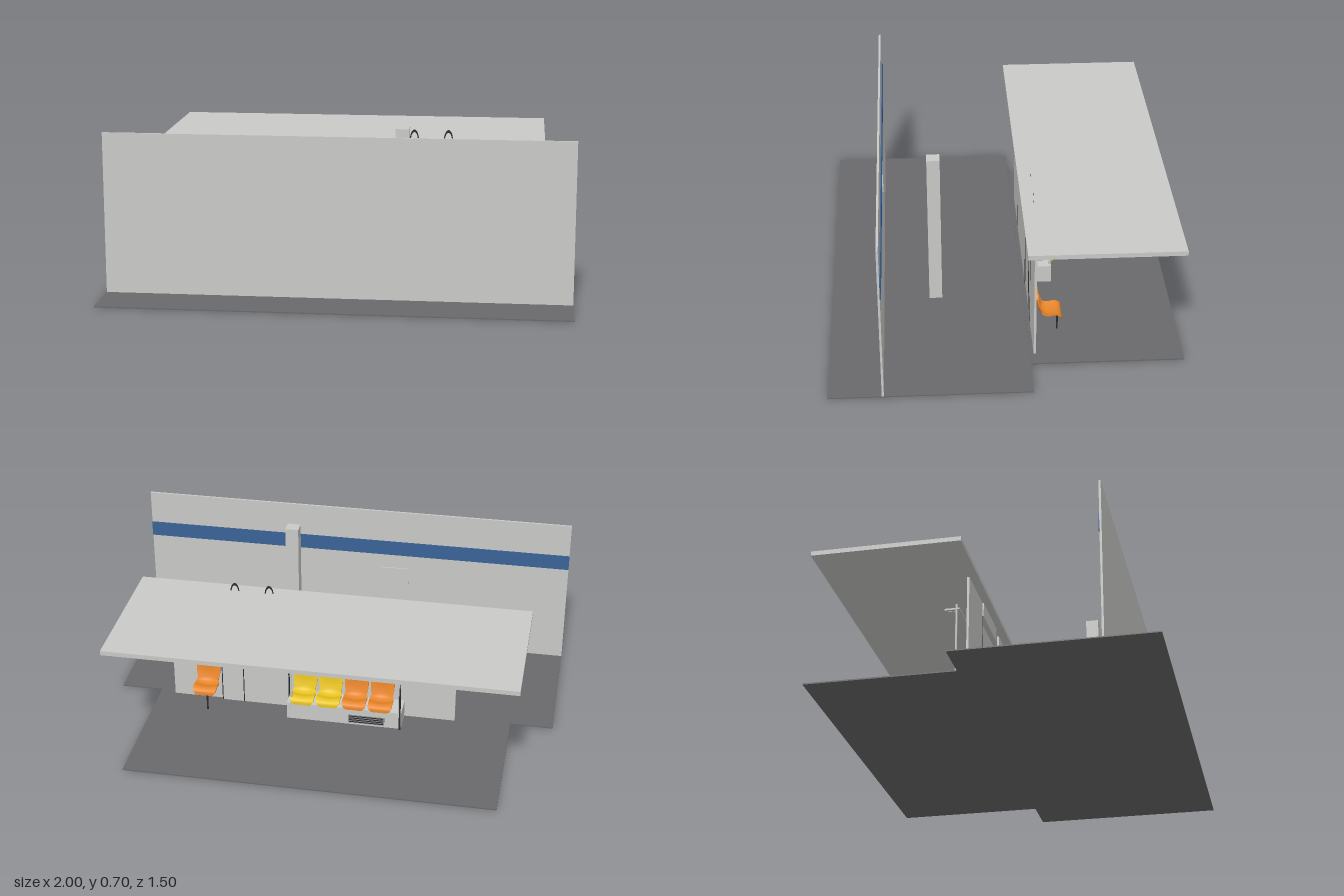
import * as THREE from 'three';

const mat = (name, color, side = THREE.FrontSide) => {
  const m = new THREE.MeshStandardMaterial({ color, side });
  m.name = name;
  return m;
};

export function createModel() {
  const model = new THREE.Group();
  model.name = 'stationShelter';
  const pale = mat('paleConcrete', 0xc9c9c7);
  const floor = mat('darkPaving', 0x69696b);
  const blue = mat('blueBand', 0x3a6296);
  const yellow = mat('yellowPlastic', 0xe8c420);
  const orange = mat('orangePlastic', 0xe8862a);
  const dark = mat('darkMetal', 0x2c2c2e, THREE.DoubleSide);
  const steel = mat('greySteel', 0x8c8c8c);

  // Box given by its limits on each axis
  const box = (name, m, [x0, x1], [y0, y1], [z0, z1], parent = model) => {
    const mesh = new THREE.Mesh(new THREE.BoxGeometry(x1 - x0, y1 - y0, z1 - z0), m);
    mesh.position.set((x0 + x1) / 2, (y0 + y1) / 2, (z0 + z1) / 2);
    mesh.name = name;
    parent.add(mesh);
    return mesh;
  };
  const rod = (name, m, x, z, y0, y1, r) => {
    const mesh = new THREE.Mesh(new THREE.CylinderGeometry(r, r, y1 - y0, 12), m);
    mesh.position.set(x, (y0 + y1) / 2, z);
    mesh.name = name;
    model.add(mesh);
  };

  // Ground slabs
  box('frontFloor', floor, [-1, 1], [0, 0.005], [-0.1, 0.75]);
  box('rearFloor', floor, [-0.81, 0.81], [0.002, 0.008], [-0.75, -0.1]);

  // Long wall with its blue band and sign plate on the inner side
  box('longWall', pale, [-1, 1], [0.005, 0.705], [0.518, 0.527]);
  box('wallBand', blue, [-1, 1], [0.48, 0.55], [0.513, 0.518]);
  box('wallSign', pale, [-0.25, -0.115], [0.325, 0.41], [0.513, 0.518]);

  // Free-standing column and canopy
  box('column', pale, [0.23, 0.29], [0.005, 0.705], [0.26, 0.317]);
  box('roof', pale, [-0.875, 0.875], [0.565, 0.585], [-0.725, -0.078]);

  // Shelter partition: side panels, low panel behind the bench, header boxes
  const zWall = [-0.126, -0.116];
  box('sidePanelRight', pale, [-0.56, -0.31], [0.005, 0.565], zWall);
  box('lowPanel', pale, [-0.31, 0.03], [0.005, 0.46], zWall);
  box('middlePanel', pale, [0.03, 0.2], [0.005, 0.565], zWall);
  box('sidePanelLeft', pale, [0.51, 0.74], [0.005, 0.565], zWall);
  box('headerOverBench', pale, [-0.31, -0.05], [0.5, 0.565], [-0.14, -0.11]);
  box('headerOverDoor', pale, [0.2, 0.51], [0.5, 0.565], [-0.14, -0.11]);
  box('doorPanel', pale, [0.2, 0.51], [0.005, 0.5], [-0.138, -0.118]);
  for (const x of [-0.31, 0.2, 0.41, 0.51]) {
    box('panelJoint', dark, [x - 0.002, x + 0.002], [0.005, 0.5], [-0.139, -0.115]);
  }
  box('doorHandle', dark, [0.37, 0.376], [0.2, 0.23], [-0.144, -0.138]);
  box('doorPlate', dark, [0.4, 0.46], [0.415, 0.421], [-0.141, -0.138]);

  // Bench base with vent grille
  box('benchBase', pale, [-0.33, 0.19], [0.008, 0.09], [-0.235, -0.126]);
  const vent = new THREE.Group();
  vent.name = 'benchVent';
  model.add(vent);
  box('ventPlate', steel, [-0.255, -0.09], [0.018, 0.058], [-0.238, -0.235], vent);
  for (let i = 0; i < 4; i++) {
    const y = 0.022 + i * 0.0095;
    box('ventSlot', dark, [-0.25, -0.095], [y, y + 0.004], [-0.24, -0.238], vent);
  }

  // Moulded seats: a slab bent along a side profile, dished and rounded at the ends
  const profile = new THREE.CatmullRomCurve3([
    [0.09, -0.243], [0.11, -0.24], [0.116, -0.222], [0.108, -0.185],
    [0.117, -0.158], [0.145, -0.145], [0.19, -0.138], [0.222, -0.14],
  ].map(([y, z]) => new THREE.Vector3(0, y, z)));
  const seatGeo = new THREE.BoxGeometry(1, 1, 1, 10, 32, 1);
  const pos = seatGeo.attributes.position;
  for (let i = 0; i < pos.count; i++) {
    const u = pos.getX(i) * 2;
    const t = pos.getY(i) + 0.5;
    const p = profile.getPointAt(t);
    const d = profile.getTangentAt(t);
    const end = Math.max(0, (Math.abs(t - 0.5) - 0.36) / 0.14);
    const half = 0.054 * (1 - 0.1 * Math.exp(-(((t - 0.55) / 0.1) ** 2))) * Math.sqrt(1 - 0.6 * end * end);
    const n = pos.getZ(i) * 0.007 - 0.012 * u * u * Math.sin(Math.PI * t);
    pos.setXYZ(i, u * half, p.y - d.z * n, p.z + d.y * n);
  }
  seatGeo.computeVertexNormals();
  const seats = [[0.12, yellow], [0.003, yellow], [-0.115, orange], [-0.233, orange], [0.57, orange]];
  for (const [x, m] of seats) {
    const seat = new THREE.Mesh(seatGeo, m);
    seat.position.x = x;
    seat.name = 'seat';
    model.add(seat);
    if (x < 0.5) box('seatBracket', steel, [x - 0.02, x + 0.02], [0.09, 0.106], [-0.2, -0.17]);
  }

  // Canopy posts, end rail and single seat leg
  for (const x of [-0.32, 0.17]) rod('canopyPost', pale, x, -0.231, 0.05, 0.565, 0.005);
  rod('benchEndRail', dark, -0.325, -0.242, 0.005, 0.225, 0.004);
  rod('singleSeatLeg', dark, 0.56, -0.23, 0.005, 0.112, 0.004);

  // Flat light fittings under the canopy
  for (const x of [-0.29, 0.19]) {
    box('lightFitting', pale, [x, x + 0.32], [0.557, 0.565], [-0.295, -0.225]);
    box('lightPanel', pale, [x + 0.015, x + 0.305], [0.555, 0.557], [-0.283, -0.237]);
  }

  // Flat hoops rising above the canopy
  for (const x of [0.283, 0.438]) {
    const hoop = new THREE.Mesh(new THREE.RingGeometry(0.016, 0.021, 20, 1, 0, Math.PI), dark);
    hoop.scale.y = 2.4;
    hoop.position.set(x, 0.574, -0.131);
    hoop.name = 'hoop';
    model.add(hoop);
  }
  return model;
}
